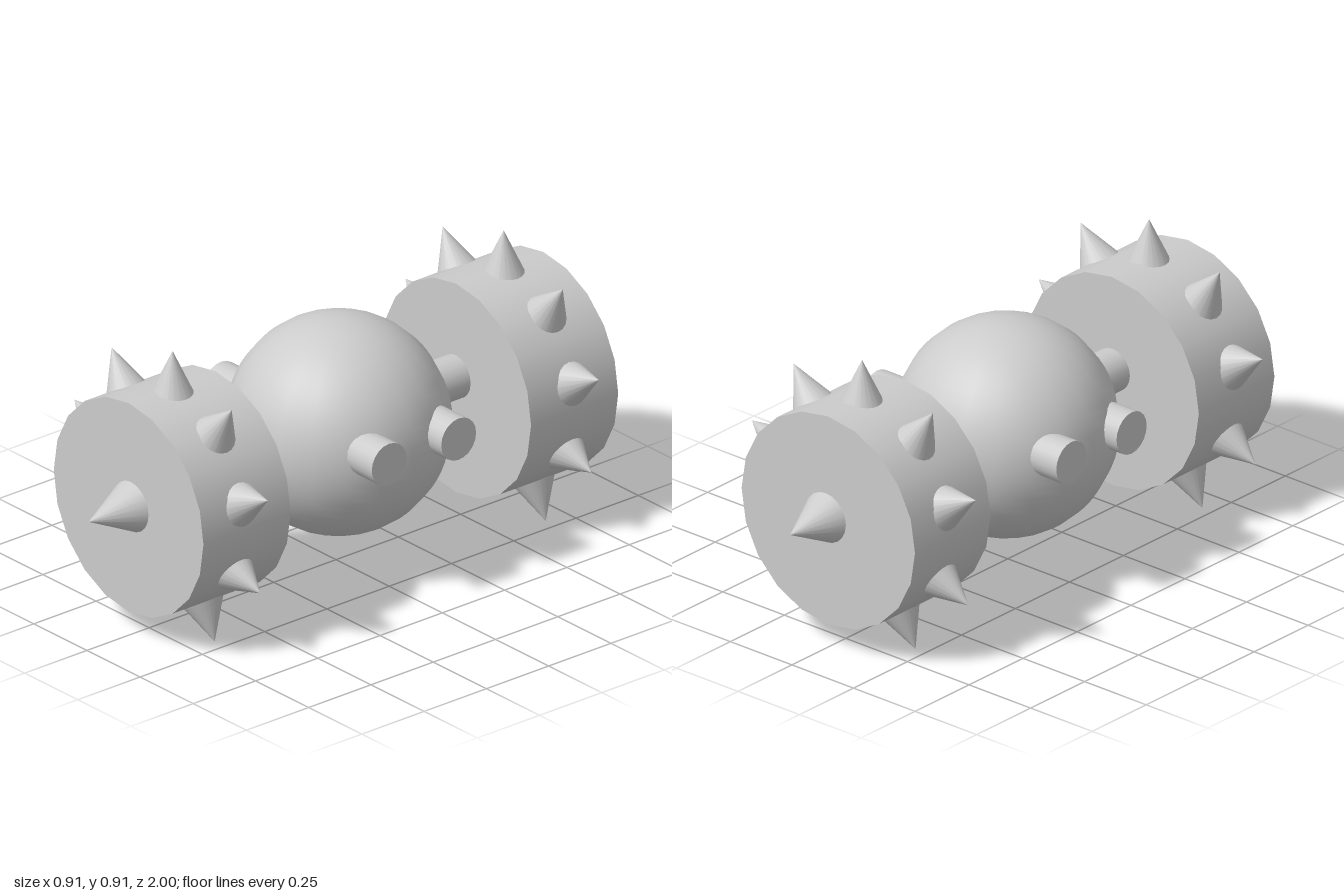
import * as THREE from 'three';

const material = new THREE.MeshStandardMaterial({ color: 0xcccccc });
const UP = new THREE.Vector3(0, 1, 0);

function addMesh(parent, name, geometry) {
  const mesh = new THREE.Mesh(geometry, material);
  mesh.name = name;
  parent.add(mesh);
  return mesh;
}

// Solid of revolution whose axis runs from a to b
function addRod(parent, name, a, b, topRadius, bottomRadius, sides = 20) {
  const dir = b.clone().sub(a);
  const geometry = new THREE.CylinderGeometry(topRadius, bottomRadius, dir.length(), sides);
  const mesh = addMesh(parent, name, geometry);
  mesh.position.copy(a).add(b).multiplyScalar(0.5);
  mesh.quaternion.setFromUnitVectors(UP, dir.normalize());
  return mesh;
}

// Rim spikes: [base x, base y, tip x, tip y]
const RIM_SPIKES = [
  [0.007, 0.77, 0.007, 0.91],
  [0.21, 0.705, 0.285, 0.81],
  [0.335, 0.515, 0.455, 0.565],
  [0.305, 0.27, 0.42, 0.24],
  [0.15, 0.115, 0.205, 0.0],
  [-0.147, 0.115, -0.21, 0.0],
  [-0.308, 0.268, -0.425, 0.215],
  [-0.34, 0.525, -0.455, 0.58],
  [-0.21, 0.703, -0.28, 0.82],
];

function createWheel(name, side, z) {
  const wheel = new THREE.Group();
  wheel.name = name;

  // Drum
  const drum = addMesh(wheel, 'drum', new THREE.CylinderGeometry(0.352, 0.352, 0.35, 20));
  drum.rotation.x = Math.PI / 2;
  drum.position.set(-0.003, 0.43, z);

  // Spikes around the rim, sunk a little into the drum
  const spikeZ = z + side * 0.007;
  for (const [bx, by, tx, ty] of RIM_SPIKES) {
    const tip = new THREE.Vector3(tx, ty, spikeZ);
    const base = new THREE.Vector3(bx, by, spikeZ);
    base.addScaledVector(tip.clone().sub(base).normalize(), -0.04);
    addRod(wheel, 'rimSpike', base, tip, 0, 0.085);
  }

  // Hub spike on the outer face
  addRod(wheel, 'hubSpike', new THREE.Vector3(0.008, 0.437, z + side * 0.17),
    new THREE.Vector3(0.008, 0.437, side), 0, 0.085);
  return wheel;
}

export function createModel() {
  const model = new THREE.Group();
  model.name = 'spikedVehicle';

  // Central ball
  const body = addMesh(model, 'body', new THREE.SphereGeometry(0.349, 20, 32));
  body.position.set(-0.003, 0.46, -0.012);

  // Axle joining the wheels
  addRod(model, 'axle', new THREE.Vector3(-0.005, 0.47, -0.6),
    new THREE.Vector3(-0.005, 0.47, 0.6), 0.07, 0.07);

  // Two pegs on each side of the ball
  for (const [name, x, dz] of [['leftPeg', 0.393, 0], ['rightPeg', -0.387, 0.01]]) {
    for (const z of [0.122, -0.157]) {
      addRod(model, name, new THREE.Vector3(x * 0.45, 0.5, z + dz),
        new THREE.Vector3(x, 0.5, z + dz), 0.07, 0.07);
    }
  }

  // Spiked wheels
  model.add(createWheel('frontWheel', 1, 0.655));
  model.add(createWheel('backWheel', -1, -0.66));
  return model;
}
